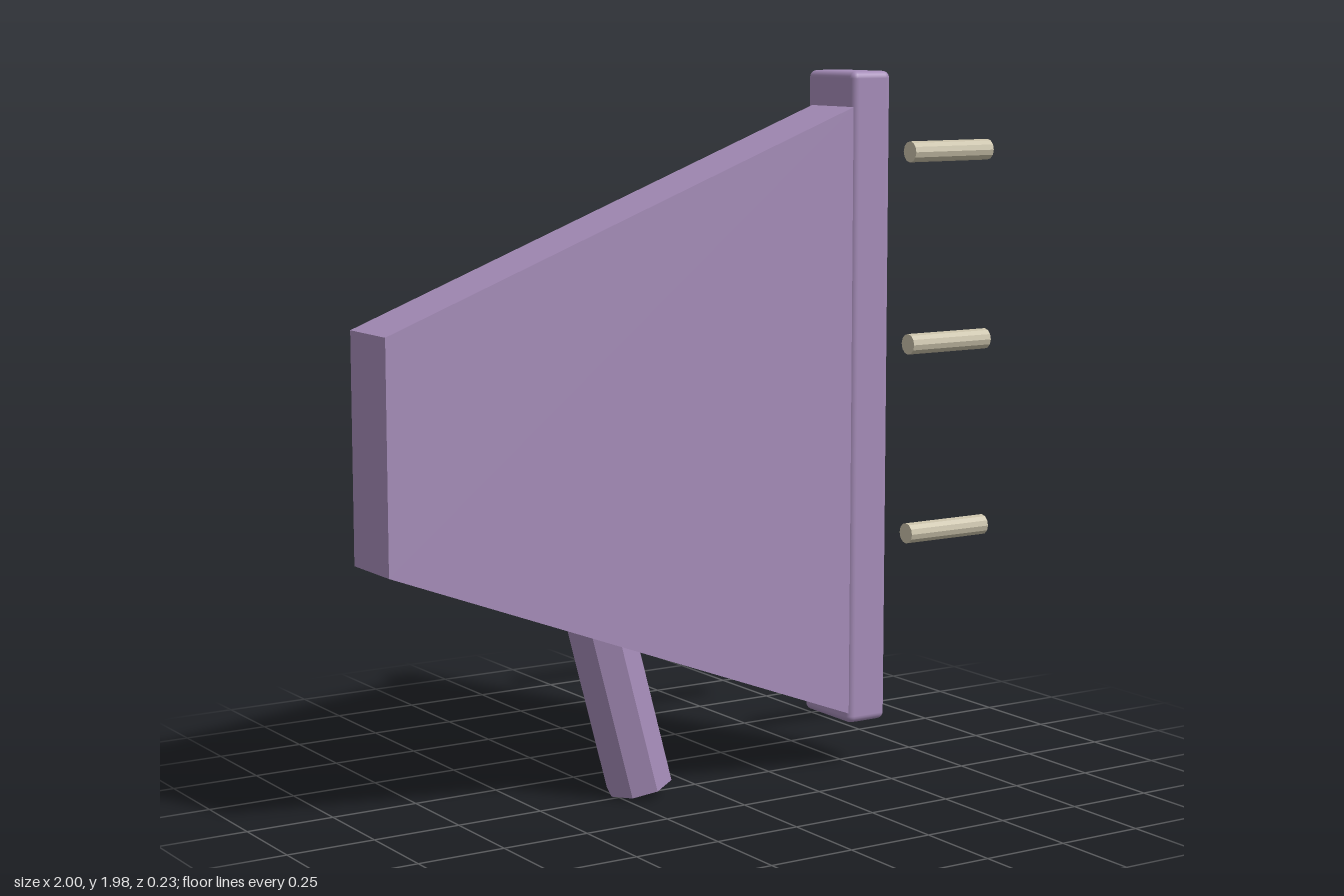
import * as THREE from 'three';
import { RoundedBoxGeometry } from 'three/addons/geometries/RoundedBoxGeometry.js';

const purple = new THREE.MeshStandardMaterial({ color: 0xa58cb8, flatShading: true });
const purpleSmooth = new THREE.MeshStandardMaterial({ color: 0xa58cb8 });
const tan = new THREE.MeshStandardMaterial({ color: 0xc8c0a8, flatShading: true });

export function createModel() {
  const model = new THREE.Group();
  const add = (name, geometry, material, x, y, z) => {
    const mesh = new THREE.Mesh(geometry, material);
    mesh.name = name;
    mesh.position.set(x, y, z);
    model.add(mesh);
    return mesh;
  };

  // Flat horn: a tapered slab widening towards the rim
  const outline = new THREE.Shape([
    [-1, 0.72], [0.45, 0.17], [0.45, 1.89], [-1, 1.34],
  ].map(([x, y]) => new THREE.Vector2(x, y)));
  add('horn', new THREE.ExtrudeGeometry(outline, { depth: 0.2, bevelEnabled: false }), purple, 0, 0, -0.09);

  // Softly rounded bar closing the wide end
  add('rim', new RoundedBoxGeometry(0.13, 1.85, 0.225, 3, 0.02), purpleSmooth, 0.515, 1.063, -0.002);

  // Eight-sided handle, leaning 15 degrees and showing a little through the back
  const length = 0.8, tilt = THREE.MathUtils.degToRad(15);
  const handle = add('handle', new THREE.CylinderGeometry(0.0975, 0.0975, length, 8), purple,
    -0.174 - Math.sin(tilt) * length / 2, 0.028 + Math.cos(tilt) * length / 2, -0.018);
  handle.rotation.z = tilt;
  handle.scale.x = 0.95;

  // Three short rods floating in front of the rim
  const rod = new THREE.CylinderGeometry(0.03, 0.03, 0.28, 12);
  rod.rotateZ(Math.PI / 2);
  for (const y of [0.65, 1.203, 1.755]) add('soundRod', rod, tan, 0.86, y, 0.012);

  return model;
}
